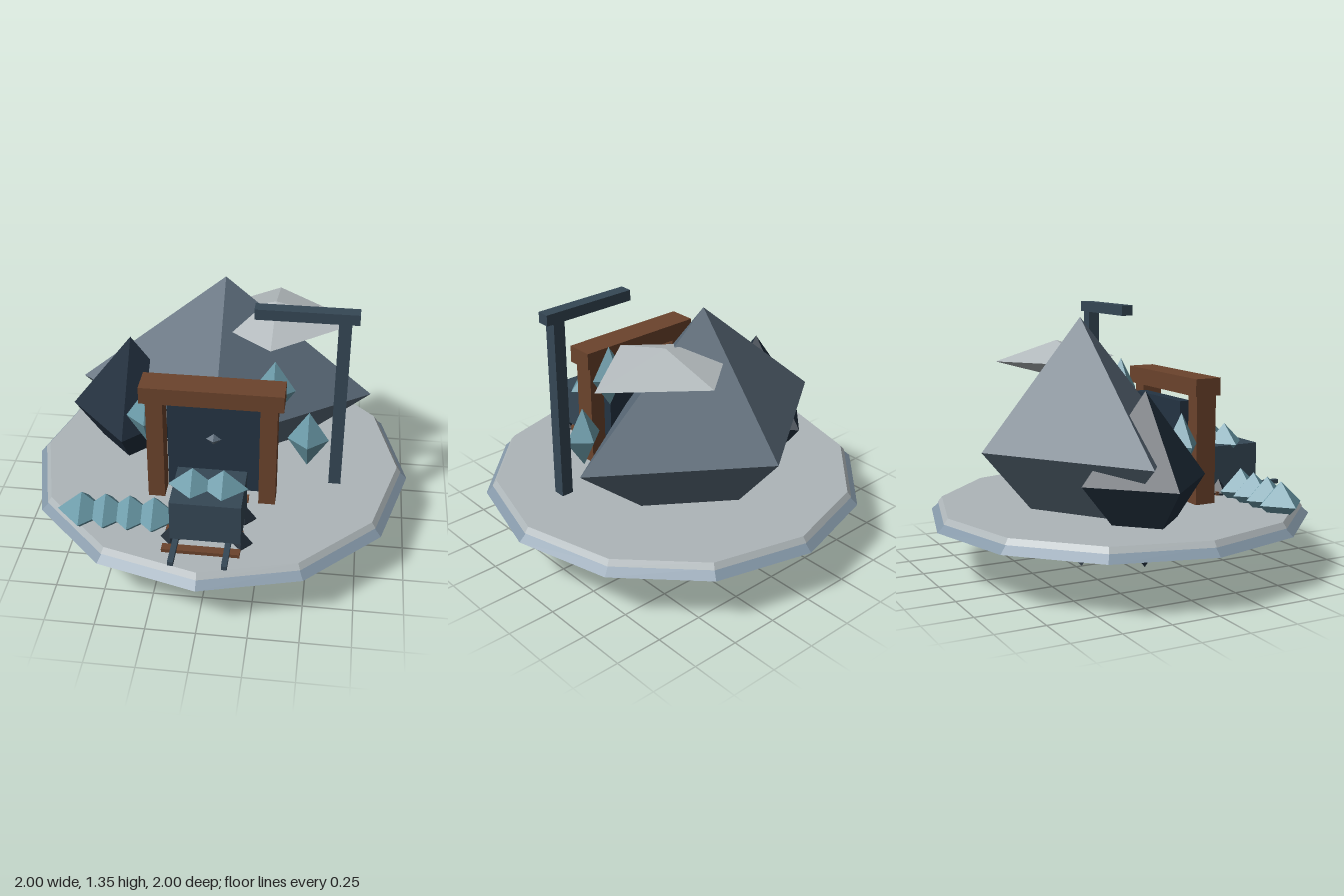
import * as THREE from 'three';

const mat = (color) => new THREE.MeshStandardMaterial({ color, flatShading: true });
const M = {
  rim: mat(0x8396a6), deck: mat(0xadb5b8), rock: mat(0x5a6a78), darkRock: mat(0x202e3c),
  paleRock: mat(0xb4bbbe), wood: mat(0x6b432c), steel: mat(0x354755),
  doorway: mat(0x243443), crystal: mat(0x6999a7), wheel: mat(0x202b36),
};
M.rim.side = THREE.DoubleSide;

export function createModel() {
  const model = new THREE.Group();
  model.name = 'mineEntrance';

  const add = (name, geometry, material, x, y, z, parent = model) => {
    const mesh = new THREE.Mesh(geometry, material);
    mesh.name = name;
    mesh.position.set(x, y, z);
    parent.add(mesh);
    return mesh;
  };
  // Box given by its limits on each axis
  const box = (name, material, [x0, x1], [y0, y1], [z0, z1], parent) =>
    add(name, new THREE.BoxGeometry(x1 - x0, y1 - y0, z1 - z0), material,
      (x0 + x1) / 2, (y0 + y1) / 2, (z0 + z1) / 2, parent);
  // Octahedron stretched to a radius on each axis
  const gem = (name, material, [x, y, z], [rx, ry, rz], parent) =>
    add(name, new THREE.OctahedronGeometry(1).scale(rx, ry, rz), material, x, y, z, parent);
  const group = (name) => {
    const g = new THREE.Group();
    g.name = name;
    model.add(g);
    return g;
  };

  // Twelve-sided ground plate with an open skirt below it
  add('groundSkirt', new THREE.CylinderGeometry(0.955, 1, 0.042, 12, 1, true), M.rim, 0, 0.301, 0);
  add('groundPlate', new THREE.CylinderGeometry(0.944, 0.966, 0.028, 12), M.deck, 0, 0.333, 0);

  // Rock masses
  gem('mainRock', M.rock, [0, 0.658, -0.22], [0.78, 0.653, 0.542]);
  gem('darkRock', M.darkRock, [-0.49, 0.55, -0.11], [0.33, 0.435, 0.34]);
  gem('paleRock', M.paleRock, [0.26, 1.078, -0.237], [0.43, 0.097, 0.342]);

  // Timber portal around the dark tunnel mouth
  const portal = group('portal');
  box('tunnelMouth', M.doorway, [-0.235, 0.235], [0.345, 0.88], [0.233, 0.295], portal);
  for (const s of [-1, 1]) {
    const xs = [s * 0.24, s * 0.325].sort((a, b) => a - b);
    box('portalPost', M.wood, xs, [0.345, 0.93], [0.28, 0.392], portal);
  }
  box('portalBeam', M.wood, [-0.355, 0.355], [0.915, 1.005], [0.255, 0.4], portal);

  // Hoist
  const hoist = group('hoist');
  box('hoistMast', M.steel, [0.587, 0.65], [0.345, 1.3], [0.115, 0.18], hoist);
  box('hoistArm', M.steel, [0.183, 0.687], [1.295, 1.35], [0.115, 0.18], hoist);

  // Track
  const track = group('track');
  for (const x of [-0.128, 0.128]) {
    box('rail', M.steel, [x - 0.014, x + 0.014], [0.362, 0.384], [0.3, 0.927], track);
  }
  for (const z of [0.797, 0.656, 0.515, 0.374]) {
    box('sleeper', M.wood, [-0.19, 0.19], [0.345, 0.366], [z - 0.022, z + 0.022], track);
  }

  // Loaded cart
  const cart = group('cart');
  box('cartBody', M.steel, [-0.155, 0.19], [0.39, 0.608], [0.478, 0.765], cart);
  for (const x of [-0.155, 0.19]) {
    for (const z of [0.525, 0.715]) {
      gem('cartWheel', M.wheel, [x, 0.358, z], [0.054, 0.072, 0.058], cart);
    }
  }
  for (const x of [-0.06, 0.09]) {
    gem('cartCrystal', M.crystal, [x, 0.61, 0.617], [0.12, 0.103, 0.105], cart);
  }

  // Crystals on the rock face
  for (const [x, y] of [[0.29, 0.895], [0.47, 0.607], [-0.365, 0.68]]) {
    gem('rockCrystal', M.crystal, [x, y, 0.165], [0.106, 0.163, 0.09]);
  }
  // Row of ground crystals
  for (let i = 0; i < 4; i++) {
    gem('groundCrystal', M.crystal, [-0.62 + i * 0.121, 0.385, 0.598], [0.13, 0.115, 0.125]);
  }
  return model;
}
